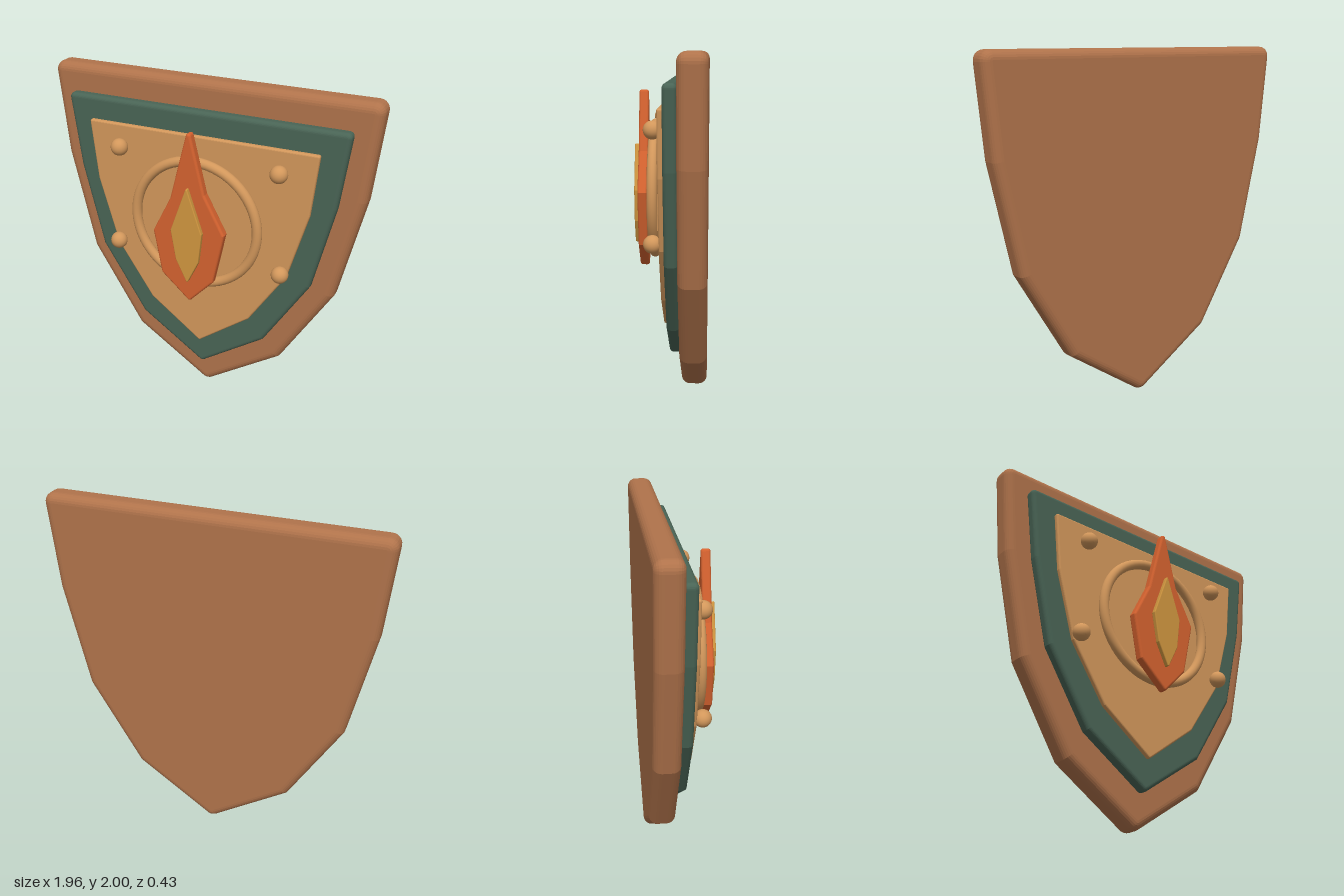
import * as THREE from 'three';

const V = (x, y) => new THREE.Vector2(x, y);
const ORIGIN = V(0, 0);

const material = (name, color) => {
  const m = new THREE.MeshStandardMaterial({ color });
  m.name = name;
  return m;
};

// Replace sharp turns of an outline with small arcs, keep gentle turns crisp
function roundedOutline(points, radius) {
  const out = [];
  points.forEach((p, i) => {
    const before = points[(i + points.length - 1) % points.length];
    const after = points[(i + 1) % points.length];
    const d1 = p.clone().sub(before).normalize();
    const d2 = after.clone().sub(p).normalize();
    const turn = Math.atan2(d1.cross(d2), d1.dot(d2));
    if (Math.abs(turn) < 0.78) {
      out.push(p);
      return;
    }
    const spoke = V(d1.y, -d1.x).multiplyScalar(Math.sign(turn) * radius);
    const centre = p.clone()
      .addScaledVector(d1, -radius * Math.tan(Math.abs(turn) / 2))
      .sub(spoke);
    for (let k = 0; k <= 6; k++) {
      out.push(spoke.clone().rotateAround(ORIGIN, (turn * k) / 6).add(centre));
    }
  });
  return out;
}

// Bevelled slab whose outer outline is the given points, from z0 to z1
function slab(name, points, z0, z1, bevel, mat) {
  const shape = new THREE.Shape(roundedOutline(points, bevel * 1.1));
  const geometry = new THREE.ExtrudeGeometry(shape, {
    depth: z1 - z0 - 2 * bevel,
    bevelEnabled: true,
    bevelSize: bevel,
    bevelThickness: bevel,
    bevelOffset: -bevel,
    bevelSegments: 6,
  });
  geometry.translate(0, 0, z0 + bevel);
  const mesh = new THREE.Mesh(geometry, mat);
  mesh.name = name;
  return mesh;
}

// Right half from the top corner to the tip, mirrored to a full shield outline
function shieldOutline(half) {
  const right = half.map(([x, y]) => V(x, y));
  const left = right.slice(0, -1).reverse().map((p) => V(-p.x, p.y));
  return [...right, ...left];
}

export function createModel() {
  const group = new THREE.Group();
  group.name = 'shield';

  const wood = material('wood brown', 0xb0734b);
  const green = material('dark green', 0x496455);
  const bronze = material('bronze', 0xd2975b);
  const orange = material('flame orange', 0xd4622f);
  const gold = material('flame gold', 0xd0963f);

  // Three stacked shield layers
  group.add(slab('backBoard', shieldOutline(
    [[0.985, 2], [0.93, 1.44], [0.79, 0.82], [0.48, 0.31], [0, -0.01]],
  ), -0.214, -0.062, 0.05, wood));
  group.add(slab('greenPanel', shieldOutline(
    [[0.845, 1.85], [0.79, 1.41], [0.67, 0.9], [0.4, 0.47], [0, 0.196]],
  ), -0.062, 0.012, 0.025, green));
  group.add(slab('frontPlate', shieldOutline(
    [[0.692, 1.72], [0.655, 1.36], [0.54, 0.955], [0.32, 0.62], [0, 0.38]],
  ), 0.012, 0.046, 0.011, bronze));

  // Ring around the emblem
  const ring = new THREE.Mesh(new THREE.TorusGeometry(0.376, 0.029, 16, 64), bronze);
  ring.name = 'ring';
  ring.position.set(0, 1.213, 0.092);
  group.add(ring);

  // Four round studs
  const studGeometry = new THREE.SphereGeometry(0.05, 24, 16);
  for (const [x, y] of [[0.483, 1.595], [0.515, 0.99]]) {
    for (const side of [-1, 1]) {
      const stud = new THREE.Mesh(studGeometry, bronze);
      stud.name = side > 0 ? 'studLeft' : 'studRight';
      stud.position.set(side * x, y, 0.08);
      group.add(stud);
    }
  }

  // Flame emblem with its inner core
  group.add(slab('flame', [
    V(0, 1.83), V(0.095, 1.44), V(0.215, 1.215), V(0.148, 0.9),
    V(0, 0.742), V(-0.176, 0.9), V(-0.225, 1.165), V(-0.115, 1.385),
  ], 0.131, 0.186, 0.014, orange));
  group.add(slab('flameCore', [
    V(0, 1.485), V(0.092, 1.21), V(0.07, 1.025),
    V(0, 0.88), V(-0.07, 1.025), V(-0.1, 1.205),
  ], 0.184, 0.214, 0.006, gold));

  return group;
}
